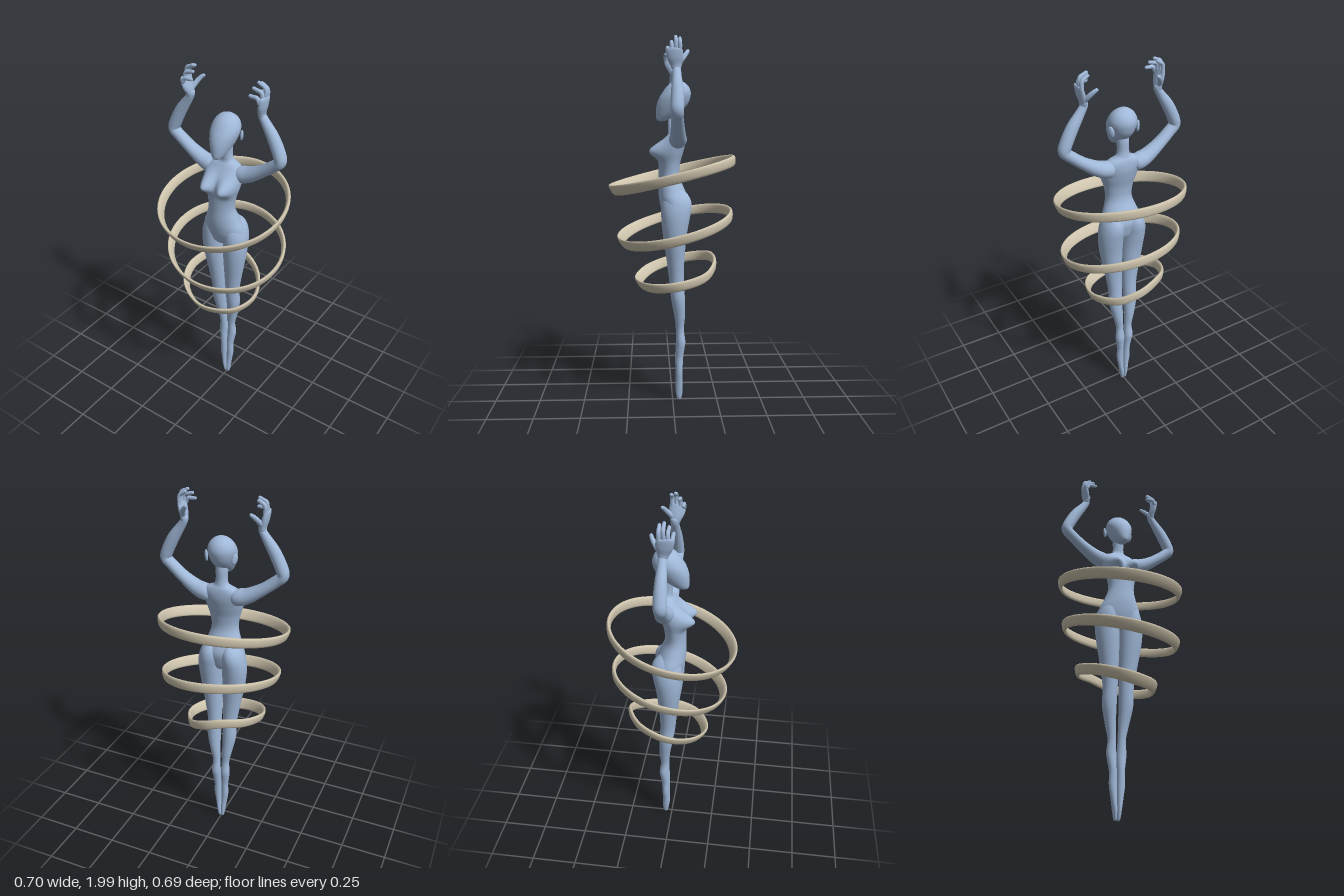
import * as THREE from 'three';

const skin = new THREE.MeshStandardMaterial({ color: 0xa0b8d8 });
skin.name = 'pale blue';
const sand = new THREE.MeshStandardMaterial({ color: 0xcfc5ae });
sand.name = 'sand';

// Smooth skin over a grid of points; v wraps around, u optionally closes too
function grid(nu, nv, closed, point) {
  const pos = [], idx = [];
  const rows = closed ? nu : nu + 1;
  for (let i = 0; i < rows; i++)
    for (let j = 0; j < nv; j++) pos.push(...point(i / nu, (j / nv) * Math.PI * 2).toArray());
  for (let i = 0; i < nu; i++)
    for (let j = 0; j < nv; j++) {
      const i2 = (i + 1) % rows, j2 = (j + 1) % nv;
      const a = i * nv + j, b = i2 * nv + j, c = i2 * nv + j2, d = i * nv + j2;
      idx.push(a, b, c, a, c, d);
    }
  const g = new THREE.BufferGeometry();
  g.setAttribute('position', new THREE.Float32BufferAttribute(pos, 3));
  g.setIndex(idx);
  g.computeVertexNormals();
  return g;
}

const spline = (pts) => new THREE.CatmullRomCurve3(pts, false, 'catmullrom', 0.5);
const V = (x, y, z) => new THREE.Vector3(x, y, z);

// Upright form from level sections [y, xMin, xMax, zFront, zBack], bottom to top
function upright(rows, s = 1, nv = 32, bump = null) {
  const mid = spline(rows.map(([y, a, b, f, k]) => V(s * (a + b) / 2, y, (f + k) / 2)));
  const rad = spline(rows.map(([, a, b, f, k]) => V((b - a) / 2, (f - k) / 2, 0)));
  return grid((rows.length - 1) * 6, nv, false, (t, a) => {
    const p = mid.getPoint(t), r = rad.getPoint(t);
    p.x += Math.max(r.x, 0.0005) * Math.cos(a);
    p.z += Math.max(r.y, 0.0005) * Math.sin(a);
    if (bump && Math.sin(a) > 0) p.z += bump(p.x, p.y) * Math.min(1, Math.sin(a) * 2);
    return p;
  });
}

// Bent form along a path of [x, y, z, radius, radius in z] with rounded ends
function limb(rows, s = 1, round = 0.2, nv = 18) {
  const path = spline(rows.map((r) => V(s * r[0], r[1], r[2])));
  const rad = spline(rows.map((r) => V(r[3], r[4] ?? r[3], 0)));
  return grid((rows.length - 1) * 8, nv, false, (t, a) => {
    const p = path.getPoint(t), r = rad.getPoint(t), d = path.getTangent(t);
    const n = d.clone().cross(V(0, 0, 1)).normalize();
    const b = n.clone().cross(d);
    const e = Math.max(0, Math.abs(2 * t - 1) - 1 + round) / round;
    const k = Math.max(0.02, Math.sqrt(Math.max(0, 1 - e * e)));
    return p.addScaledVector(n, r.x * k * Math.cos(a)).addScaledVector(b, r.y * k * Math.sin(a));
  });
}

// Closed ribbon with a rounded section, its top leaning outward at the front
function band(points) {
  const path = new THREE.CatmullRomCurve3(points, true, 'catmullrom', 0.5);
  return grid(112, 14, true, (t, a) => {
    const p = path.getPoint(t), d = path.getTangent(t);
    const u = V(d.z, 0, -d.x).normalize();
    const c = Math.cos(a), q = -Math.sin(a);
    const h = Math.sign(q) * Math.pow(Math.abs(q), 0.7);
    const lean = 0.008 * (1 + u.z) * h;
    p.addScaledVector(u, 0.011 * c + lean);
    p.y += 0.028 * h;
    return p;
  });
}

export function createModel() {
  const model = new THREE.Group();
  model.name = 'figureWithRings';
  const add = (name, geo, mat = skin) => {
    const m = new THREE.Mesh(geo, mat);
    m.name = name;
    model.add(m);
    return m;
  };
  const even = (rows) => rows.map(([y, w, f, b]) => [y, -w, w, f, b]);

  // Torso and neck, with the bust swelling out of the chest
  const swell = (x, y) => {
    const up = (y - 1.41) / (y > 1.41 ? 0.05 : 0.038);
    return 0.06 * Math.exp(-(((Math.abs(x) - 0.057) / 0.04) ** 2) - up * up);
  };
  add('torso', upright(even([
    [1.03, 0.0, 0.0, -0.02], [1.05, 0.07, 0.045, -0.06], [1.10, 0.12, 0.064, -0.078],
    [1.15, 0.118, 0.074, -0.084], [1.20, 0.096, 0.078, -0.066], [1.27, 0.075, 0.076, -0.037],
    [1.34, 0.083, 0.077, -0.04], [1.40, 0.1, 0.08, -0.056], [1.45, 0.108, 0.06, -0.068],
    [1.485, 0.11, 0.035, -0.07], [1.51, 0.085, 0.018, -0.067], [1.53, 0.042, 0.005, -0.06],
    [1.56, 0.031, 0.005, -0.056], [1.61, 0.032, 0.01, -0.056], [1.65, 0.03, 0.01, -0.05],
  ]), 1, 56, swell));

  // Egg-shaped head, chin forward
  add('head', upright(even([
    [1.568, 0, 0.065, 0.06], [1.574, 0.02, 0.083, 0.03], [1.59, 0.034, 0.089, 0.0],
    [1.62, 0.05, 0.09, -0.045], [1.655, 0.064, 0.086, -0.078], [1.69, 0.073, 0.074, -0.093],
    [1.72, 0.073, 0.056, -0.097], [1.748, 0.062, 0.036, -0.088], [1.768, 0.044, 0.014, -0.07],
    [1.78, 0.023, -0.008, -0.048], [1.784, 0, -0.028, -0.029],
  ]), 1, 40));

  for (const [side, s] of [['left', 1], ['right', -1]]) {
    // Leg, running down to a pointed foot
    add(side + 'Leg', upright([
      [0.004, 0.008, 0.009, -0.036, -0.038], [0.012, 0.001, 0.017, -0.025, -0.049],
      [0.06, 0.0, 0.025, -0.016, -0.056], [0.12, 0.001, 0.034, -0.016, -0.054],
      [0.18, 0.001, 0.043, -0.016, -0.055], [0.25, 0.002, 0.042, -0.015, -0.058],
      [0.30, 0.002, 0.049, -0.017, -0.064], [0.35, 0.002, 0.055, -0.02, -0.07],
      [0.42, 0.006, 0.05, -0.018, -0.062], [0.50, 0.008, 0.066, -0.008, -0.067],
      [0.60, 0.008, 0.086, 0.01, -0.066], [0.70, 0.006, 0.087, 0.02, -0.06],
      [0.80, 0.004, 0.102, 0.032, -0.061], [0.95, 0.002, 0.128, 0.054, -0.073],
      [1.05, 0.001, 0.136, 0.062, -0.09], [1.12, 0.001, 0.127, 0.062, -0.1],
      [1.17, 0.01, 0.105, 0.05, -0.085], [1.22, 0.03, 0.06, 0.02, -0.03],
    ], s, 28));

    // Raised arm
    add(side + 'Arm', limb([
      [0.05, 1.465, -0.025, 0.04], [0.10, 1.472, -0.024, 0.045, 0.047],
      [0.15, 1.49, -0.022, 0.04, 0.043], [0.22, 1.533, -0.018, 0.032, 0.036],
      [0.285, 1.583, -0.013, 0.03, 0.032], [0.32, 1.617, -0.011, 0.03, 0.033],
      [0.31, 1.66, -0.012, 0.032, 0.034], [0.272, 1.735, -0.013, 0.031, 0.03],
      [0.228, 1.80, -0.013, 0.023, 0.023], [0.207, 1.835, -0.013, 0.018, 0.022],
      [0.206, 1.86, -0.012, 0.015, 0.022],
    ], s, 0.12, 24));

    // Palm
    add(side + 'Palm', limb([
      [0.212, 1.82, -0.012, 0.016, 0.02], [0.21, 1.85, -0.01, 0.017, 0.03],
      [0.218, 1.885, -0.004, 0.017, 0.041], [0.226, 1.92, 0.0, 0.013, 0.042],
      [0.226, 1.932, 0.0, 0.009, 0.036],
    ], s, 0.25));

    // Four curled fingers: z, knuckle x and y, tip x and y
    const fingers = [
      [-0.029, 0.224, 1.955, 0.185, 1.985], [-0.008, 0.225, 1.965, 0.18, 1.993],
      [0.013, 0.218, 1.95, 0.165, 1.968], [0.033, 0.208, 1.93, 0.16, 1.935],
    ];
    fingers.forEach(([z, kx, ky, tx, ty], i) => add(side + 'Finger' + (i + 1), limb([
      [0.223, 1.9, z, 0.0105], [kx, ky, z, 0.0105],
      [kx * 0.45 + tx * 0.55, ky * 0.35 + ty * 0.65, z, 0.0095], [tx, ty, z, 0.008],
    ], s, 0.2, 12)));

    // Thumb, pointing back and inward
    add(side + 'Thumb', limb([
      [0.213, 1.855, -0.02, 0.014], [0.2, 1.885, -0.046, 0.013],
      [0.183, 1.91, -0.064, 0.011], [0.163, 1.926, -0.074, 0.008],
    ], s, 0.2, 12));

    // Ear
    const ear = add(side + 'Ear', new THREE.SphereGeometry(1, 18, 12));
    ear.scale.set(0.009, 0.03, 0.018);
    ear.position.set(s * 0.077, 1.677, -0.042);
    ear.rotation.set(0.2, s * 0.5, -s * 0.15);
  }

  // Two large tilted rings
  const hoop = (cx, cz, rx, rz, y, slopeX, slopeZ) => Array.from({ length: 24 }, (_, i) => {
    const a = (i / 24) * Math.PI * 2, c = Math.cos(a), q = Math.sin(a);
    return V(cx + rx * c, y + slopeX * c + slopeZ * q, cz + rz * q);
  });
  add('upperRing', band(hoop(0, 0, 0.338, 0.328, 1.281, 0.003, -0.08)), sand);
  add('middleRing', band(hoop(0.01, -0.016, 0.313, 0.3, 0.999, -0.03, -0.072)), sand);

  // Small ring with a step at the back
  add('lowerRing', band([
    [0.188, 0.70, -0.02], [0.135, 0.683, 0.125], [-0.02, 0.687, 0.19], [-0.165, 0.725, 0.13],
    [-0.228, 0.765, 0], [-0.185, 0.798, -0.14], [-0.085, 0.812, -0.217], [0.02, 0.782, -0.228],
    [0.125, 0.732, -0.165],
  ].map((p) => V(...p))), sand);

  return model;
}
